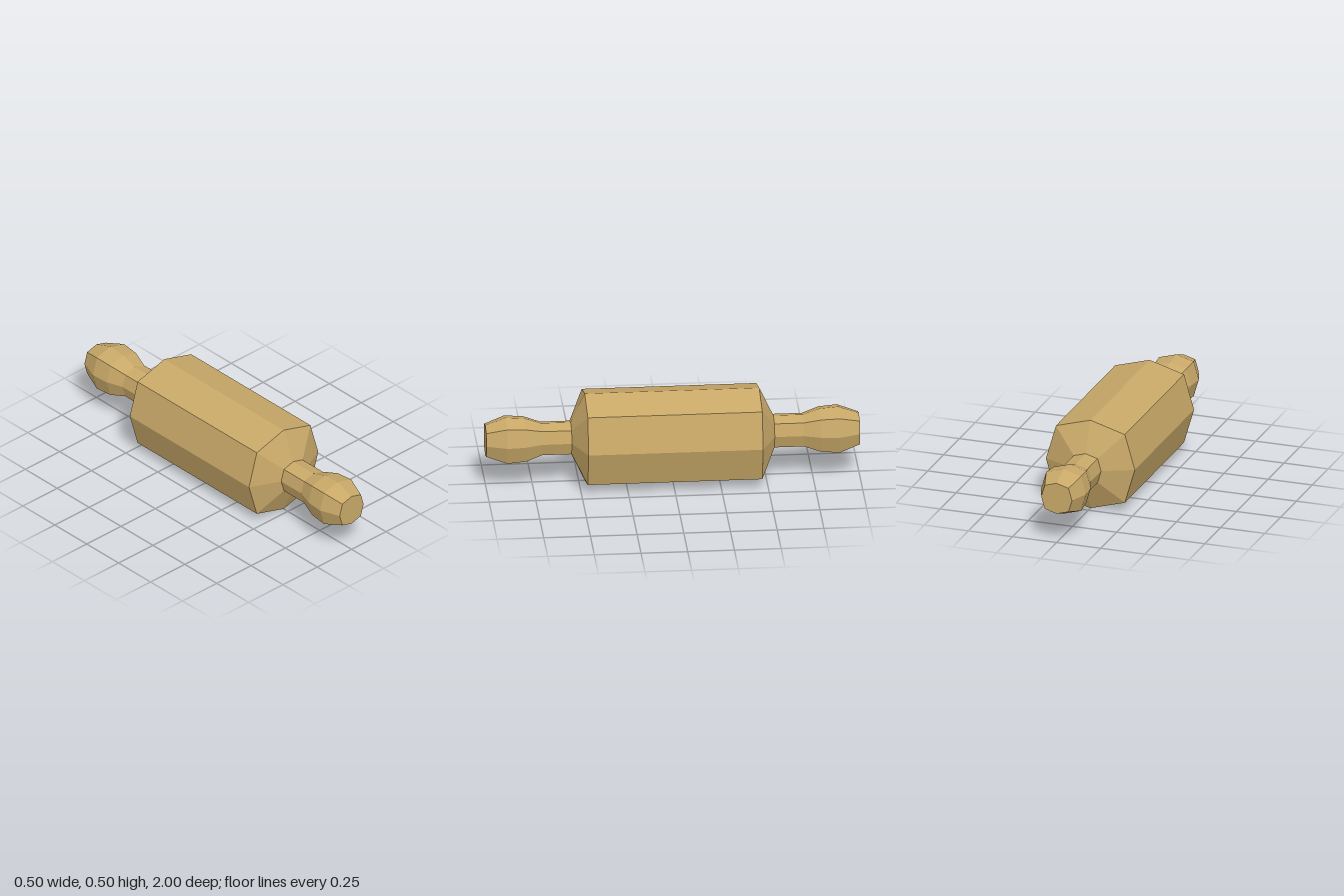
import * as THREE from 'three';

const DIAGONAL = 1.095; // the octagon's diagonal corners sit slightly further out

// Eight-sided turned solid along z, from [radius, z] pairs in ascending z
function turned(name, profile, material) {
  const geometry = new THREE.LatheGeometry(profile.map(([r, z]) => new THREE.Vector2(r, z)), 8);
  const pos = geometry.attributes.position;
  for (let i = 0; i < pos.count; i++) {
    const x = pos.getX(i), z = pos.getZ(i);
    if (Math.min(Math.abs(x), Math.abs(z)) > 0.01) {
      pos.setX(i, x * DIAGONAL);
      pos.setZ(i, z * DIAGONAL);
    }
  }
  geometry.rotateX(Math.PI / 2);
  geometry.computeVertexNormals();
  const mesh = new THREE.Mesh(geometry, material);
  mesh.name = name;
  return mesh;
}

export function createModel() {
  const group = new THREE.Group();
  group.name = 'rollingPin';
  const wood = new THREE.MeshStandardMaterial({ color: 0xc8a868, flatShading: true });

  // Roller barrel with bevelled shoulders
  const roller = turned('roller', [[0.088, -0.543], [0.252, -0.467], [0.252, 0.467], [0.088, 0.543]], wood);

  // Handles: straight neck, bulging grip, flat closed end
  const grip = [[0.088, 0.543], [0.088, 0.7], [0.119, 0.79], [0.127, 0.89], [0.087, 1], [0, 1]];
  const frontHandle = turned('frontHandle', grip, wood);
  const backHandle = turned('backHandle', grip, wood);
  backHandle.rotation.y = Math.PI;

  for (const part of [roller, frontHandle, backHandle]) {
    part.position.y = 0.253;
    group.add(part);
  }
  return group;
}
